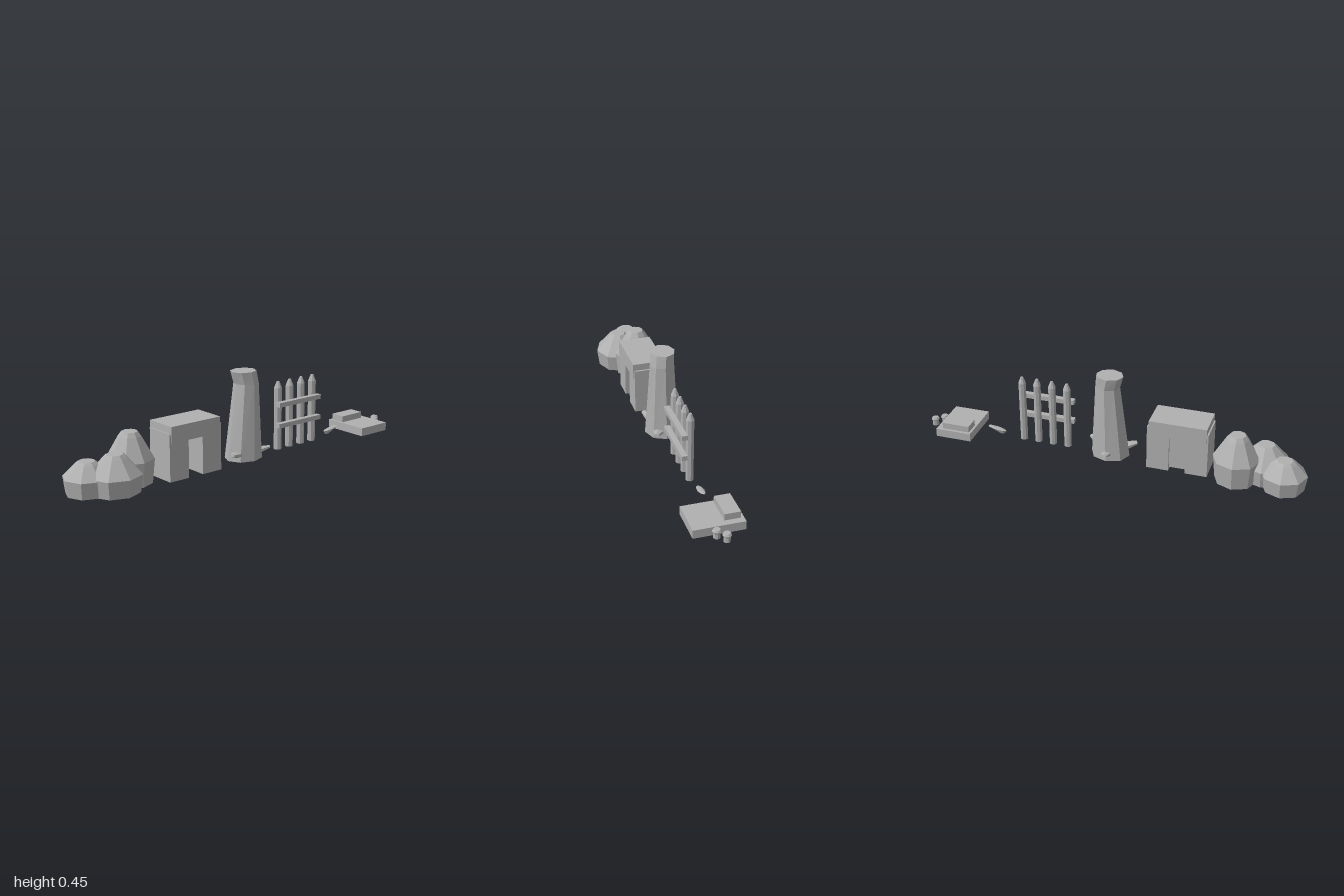
import * as THREE from 'three';

export function createModel() {
  const model = new THREE.Group();
  model.name = 'villageProps';
  const stone = new THREE.MeshStandardMaterial({ color: 0xb0b0b0, flatShading: true });
  stone.name = 'plainGrey';

  const add = (name, geometry, parent = model) => {
    const mesh = new THREE.Mesh(geometry, stone);
    mesh.name = name;
    parent.add(mesh);
    return mesh;
  };
  const group = (name) => {
    const g = new THREE.Group();
    g.name = name;
    model.add(g);
    return g;
  };
  // Box given by its limits on each axis
  const box = (name, [x0, x1], [y0, y1], [z0, z1], parent) =>
    add(name, new THREE.BoxGeometry(x1 - x0, y1 - y0, z1 - z0), parent)
      .position.set((x0 + x1) / 2, (y0 + y1) / 2, (z0 + z1) / 2);
  // Closed faceted solid of revolution from [radius, height] pairs
  const turned = (name, rings, parent, sides = 8) => {
    const pts = [[0, rings[0][1]], ...rings, [0, rings.at(-1)[1]]];
    return add(name, new THREE.LatheGeometry(pts.map(([r, y]) => new THREE.Vector2(r, y)), sides), parent);
  };
  // Closed loft through rings of { c: centre, rx, rz }
  const loft = (name, rings, parent, sides = 8) => {
    const pos = [], index = [];
    rings.forEach(({ c, rx, rz, tilt = 0 }) => {
      for (let i = 0; i < sides; i++) {
        const a = (i / sides) * Math.PI * 2;
        pos.push(c[0] + rx * Math.sin(a), c[1] + tilt * Math.sin(a), c[2] + rz * Math.cos(a));
      }
    });
    for (let k = 0; k < rings.length - 1; k++) {
      for (let i = 0; i < sides; i++) {
        const j = (i + 1) % sides, a = k * sides + i, b = k * sides + j;
        index.push(a, b, b + sides, a, b + sides, a + sides);
      }
    }
    const top = (rings.length - 1) * sides;
    for (let i = 1; i < sides - 1; i++) {
      index.push(0, i + 1, i, top, top + i, top + i + 1);
    }
    const g = new THREE.BufferGeometry();
    g.setAttribute('position', new THREE.Float32BufferAttribute(pos, 3));
    g.setIndex(index);
    g.computeVertexNormals();
    return add(name, g, parent);
  };

  // Three faceted domes
  const domes = group('domes');
  [
    { x: -0.65, z: -0.037, r: 0.115, sx: 1.02, mid: 0.12, rim: 0.228, top: 0.25 },
    { x: -0.885, z: -0.042, r: 0.112, sx: 1.03, mid: 0.08, rim: 0.14, top: 0.153 },
    { x: -0.78, z: 0.031, r: 0.122, sx: 1.1, mid: 0.086, rim: 0.165, top: 0.182 },
  ].forEach(({ x, z, r, sx, mid, rim, top }) => {
    const d = turned('dome', [[r * 0.9, 0], [r, mid], [0.055, rim], [0.039, top]], domes);
    d.position.set(x, 0, z);
    d.scale.x = sx;
  });

  // Gateway: two pillars, a lintel and a door set near the back
  const gate = group('gateway');
  box('leftPillar', [-0.318, -0.205], [0, 0.235], [-0.068, 0.088], gate);
  box('rightPillar', [-0.513, -0.402], [0, 0.235], [-0.068, 0.088], gate);
  box('lintel', [-0.506, -0.215], [0.19, 0.27], [-0.075, 0.094], gate);
  box('door', [-0.402, -0.318], [0.015, 0.2], [-0.055, -0.04], gate);

  // Leaning trunk with three root spurs
  const trunk = group('trunk');
  loft('trunkBody', [
    { c: [0.004, 0, 0.008], rx: 0.1, rz: 0.087 },
    { c: [0.02, 0.385, 0.01], rx: 0.064, rz: 0.062 },
    { c: [0.007, 0.447, 0.004], rx: 0.069, rz: 0.061 },
  ], trunk);
  [-0.5, 0.5, Math.PI].forEach((turn, i) => {
    const angle = i === 2 ? Math.PI : Math.sign(turn) * 1.12;
    const spur = add('root', new THREE.CylinderGeometry(0.014, 0.042, 0.09, 6), trunk);
    spur.geometry.rotateX(Math.PI / 2).scale(1, 0.5, 1).rotateX(-0.2);
    spur.rotation.y = angle;
    const reach = i === 2 ? 0.075 : 0.092;
    spur.position.set(0.004 + Math.sin(angle) * reach, 0.038, 0.01 + Math.cos(angle) * reach);
  });

  // Picket fence with two rails
  const fence = group('fence');
  for (let i = 0; i < 4; i++) {
    turned('post', [[0.02, 0], [0.02, 0.325], [0.007, 0.358]], fence)
      .position.set(0.235 + i * 0.08, 0, 0.01);
  }
  [0.133, 0.243].forEach((y) => box('rail', [0.207, 0.497], [y - 0.012, y + 0.012], [0.027, 0.055], fence));

  // Small tilted chip of stone
  loft('stoneChip', [
    { c: [0.602, 0.012, 0.004], rx: 0.016, rz: 0.007, tilt: 0.003 },
    { c: [0.625, 0.036, 0.004], rx: 0.052, rz: 0.017, tilt: 0.009 },
    { c: [0.628, 0.041, 0.004], rx: 0.036, rz: 0.009, tilt: 0.006 },
  ]);

  // Stepped slab with two little pots
  const slab = group('slab');
  box('slabBase', [0.73, 0.92], [0, 0.043], [-0.11, 0.138], slab);
  box('slabStep', [0.742, 0.888], [0.043, 0.076], [-0.095, -0.018], slab);
  [[0.938, 0.034], [0.976, 0]].forEach(([x, z]) =>
    turned('pot', [[0.017, 0], [0.017, 0.026], [0.022, 0.034], [0.016, 0.044]], slab).position.set(x, 0, z));

  return model;
}
